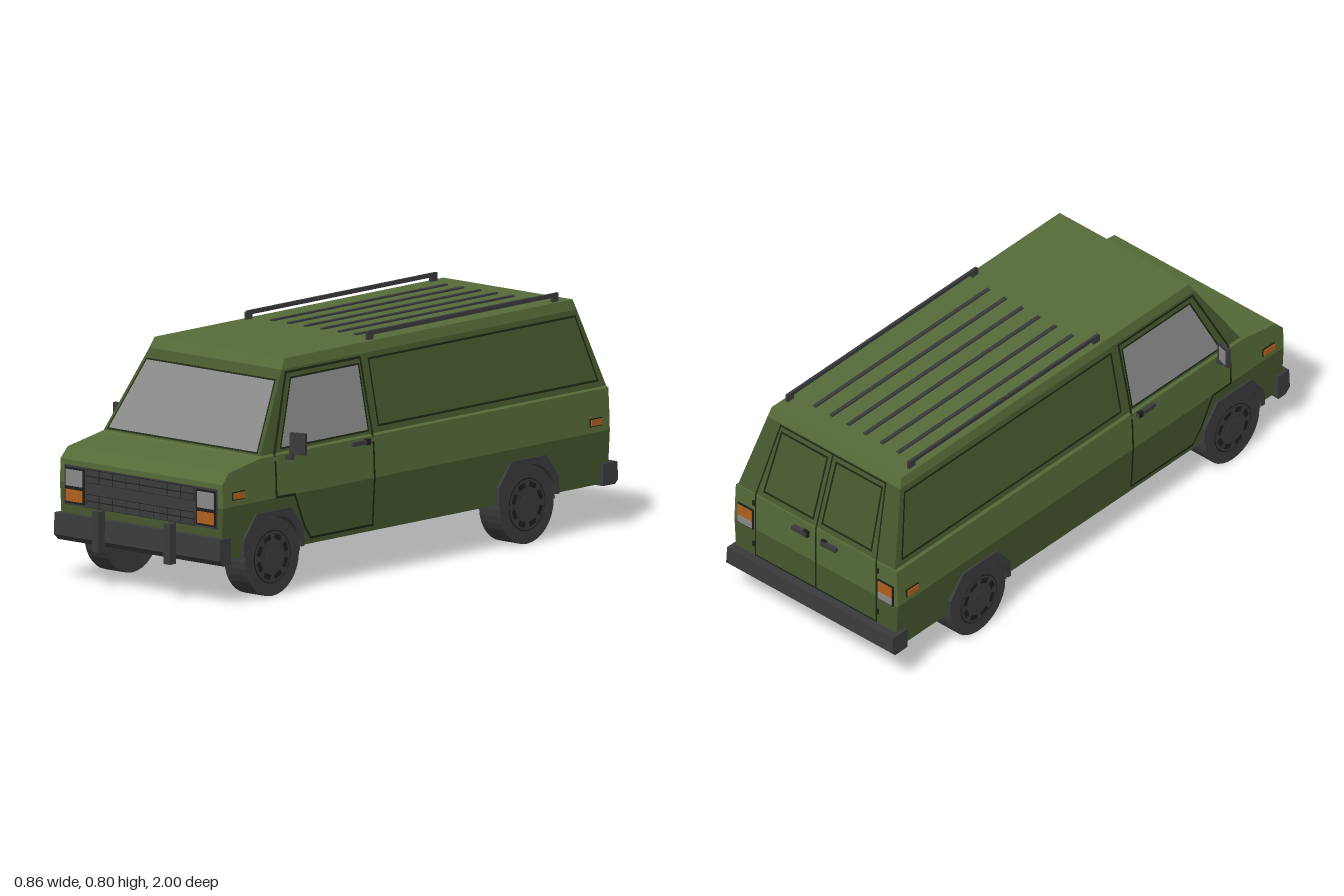
import * as THREE from 'three';
import { mergeGeometries } from 'three/addons/utils/BufferGeometryUtils.js';

const mat = (name, color) => new THREE.MeshStandardMaterial({ name, color, side: THREE.DoubleSide, flatShading: true });
const M = {
  green: mat('olive paint', 0x566b38),
  darkGreen: mat('dark olive paint', 0x46572e),
  seam: mat('dark seam', 0x1d2612),
  plastic: mat('dark plastic', 0x3b3b3d),
  black: mat('black trim', 0x1e1e1f),
  glass: mat('grey glass', 0x8a8a8a),
  orange: mat('amber lamp', 0xb0601f),
};

// Body levels: height, half width, front z, back z, paint of the band above
const LEVELS = [
  [0.15, 0.355, 0.948, -0.965, M.darkGreen], [0.33, 0.366, 0.948, -0.965, M.green],
  [0.41, 0.363, 0.948, -0.965, M.green], [0.445, 0.361, 0.915, -0.965, M.green],
  [0.472, 0.36, 0.755, -0.965, M.green], [0.478, 0.351, 0.748, -0.963, M.darkGreen],
  [0.74, 0.297, 0.582, -0.877, M.green], [0.775, 0.29, 0.563, -0.865],
];
const WHEELS = [0.70, -0.56];
const WHEEL_R = 0.133;

// Interpolated body measure (1 half width, 2 front, 3 back) at height y
function at(y, k) {
  let i = 0;
  while (i < LEVELS.length - 2 && y > LEVELS[i + 1][0]) i++;
  const a = LEVELS[i], b = LEVELS[i + 1];
  return a[k] + (b[k] - a[k]) * (y - a[0]) / (b[0] - a[0]);
}
// Maps from flat (u, y) drawings onto the body surface
const onSide = (s, e = 0.002) => (u, y) => [s * (at(y, 1) + e), y, u];
const onFront = (e = 0.002) => (u, y) => [u, y, at(y, 2) + e];
const onBack = (e = 0.002) => (u, y) => [u, y, at(y, 3) - e];

function add(parent, name, geo, material, x = 0, y = 0, z = 0) {
  const m = new THREE.Mesh(geo, material);
  m.name = name;
  m.position.set(x, y, z);
  parent.add(m);
  return m;
}
const box = (p, name, material, w, h, d, x, y, z) => add(p, name, new THREE.BoxGeometry(w, h, d), material, x, y, z);
const poly = (pts) => new THREE.Shape(pts.map(([u, v]) => new THREE.Vector2(u, v)));

// A (z, y) profile extruded across x, with its right face at x
function prism(p, name, shape, width, x, z, material) {
  const g = new THREE.ExtrudeGeometry(shape, { depth: width, bevelEnabled: false, curveSegments: 16 });
  g.rotateY(-Math.PI / 2);
  return add(p, name, g, material, x, 0, z);
}

function mapped(shape, map) {
  const g = new THREE.ShapeGeometry(shape, 16).toNonIndexed();
  const p = g.attributes.position;
  for (let i = 0; i < p.count; i++) p.setXYZ(i, ...map(p.getX(i), p.getY(i)));
  g.computeVertexNormals();
  return g;
}
const plate = (p, name, pts, map, material) => add(p, name, mapped(poly(pts), map), material);

// Thin line along a path drawn on a body surface, broken where the body bends
function line(p, name, pts, map, w = 0.007, closed = true) {
  const path = [];
  const ends = closed ? [...pts, pts[0]] : pts;
  ends.forEach(([a, b], i) => {
    path.push([a, b]);
    if (i === ends.length - 1) return;
    const [c, d] = ends[i + 1];
    const bends = LEVELS.map((l) => (l[0] - b) / (d - b)).filter((t) => t > 0.001 && t < 0.999);
    for (const t of bends.sort((m, n) => m - n)) path.push([a + (c - a) * t, b + (d - b) * t]);
  });
  const parts = [];
  for (let i = 0; i < path.length - 1; i++) {
    const [a, b] = path[i], [c, d] = path[i + 1];
    const l = Math.hypot(c - a, d - b), tu = (c - a) / l * w / 2, tv = (d - b) / l * w / 2;
    parts.push(mapped(poly([[a - tu - tv, b - tv + tu], [a - tu + tv, b - tv - tu],
      [c + tu + tv, d + tv - tu], [c + tu - tv, d + tv + tu]]), map));
  }
  return add(p, name, mergeGeometries(parts), M.seam);
}

function buildBody(g) {
  // Bands lofted between levels; the lowest side band is cut for the wheels
  const corners = ([y, w, f, b]) => [[w, y, f], [w, y, b], [-w, y, b], [-w, y, f]];
  const quads = (name, list, material) => {
    const geo = new THREE.BufferGeometry();
    const pos = list.flatMap(([a, b, c, d]) => [a, b, c, a, c, d].flat());
    geo.setAttribute('position', new THREE.Float32BufferAttribute(pos, 3));
    geo.computeVertexNormals();
    add(g, name, geo, material);
  };
  for (let i = 0; i < LEVELS.length - 1; i++) {
    const lo = corners(LEVELS[i]), hi = corners(LEVELS[i + 1]);
    const sides = i === 0 ? [1, 3] : [0, 1, 2, 3];
    quads('bodyBand', sides.map((k) => [lo[k], lo[(k + 1) % 4], hi[(k + 1) % 4], hi[k]]), LEVELS[i][4]);
  }
  quads('roof', [corners(LEVELS[LEVELS.length - 1])], M.green);

  const r = 0.14, a0 = Math.asin((0.15 - WHEEL_R) / r);
  for (const s of [1, -1]) {
    const sh = new THREE.Shape();
    sh.moveTo(0.948, 0.33);
    sh.lineTo(0.948, 0.15);
    for (const z of WHEELS) sh.absarc(z, WHEEL_R, r, a0, Math.PI - a0, false);
    sh.lineTo(-0.965, 0.15);
    sh.lineTo(-0.965, 0.33);
    add(g, 'lowerSide', mapped(sh, onSide(s, 0)), M.darkGreen);

    for (const z of WHEELS) {
      // Wheel arch flare and liner
      const t = poly([[-0.15, 0.15], [-0.148, 0.21], [-0.085, 0.29], [0.085, 0.29], [0.148, 0.21], [0.15, 0.15]]);
      t.absarc(0, WHEEL_R, r - 0.003, a0, Math.PI - a0, false);
      prism(g, 'archFlare', t, 0.025, s > 0 ? 0.371 : -0.346, z, M.plastic);
      const liner = new THREE.CylinderGeometry(r, r, 0.11, 20, 1, true, 0, Math.PI);
      liner.rotateZ(Math.PI / 2);
      add(g, 'archLiner', liner, M.plastic, s * 0.305, WHEEL_R, z);
    }
    // Floor strips between and beyond the wheels
    for (const [a, b] of [[0.945, 0.838], [0.562, -0.422], [-0.698, -0.962]])
      box(g, 'floorStrip', M.plastic, 0.1, 0.01, a - b, s * 0.304, 0.156, (a + b) / 2);
  }
  box(g, 'floor', M.plastic, 0.51, 0.15, 1.9, 0, 0.226, -0.008);
}

function buildSide(g, s) {
  const map = onSide(s);
  // Cab door and its window
  line(g, 'doorSeam', [[0.2, 0.73], [0.2, 0.17], [0.505, 0.17], [0.54, 0.215],
    [0.595, 0.33], [0.685, 0.332], [0.685, 0.478], [0.567, 0.73]], map, 0.008);
  const win = [[0.213, 0.71], [0.213, 0.49], [0.648, 0.49], [0.548, 0.71]];
  plate(g, 'doorWindow', win, map, M.glass);
  line(g, 'doorWindowSeal', win, onSide(s, 0.003), 0.006);
  // Cargo panel outline
  line(g, 'cargoPanelSeam', [[0.16, 0.72], [0.16, 0.5], [-0.925, 0.5], [-0.862, 0.72]], map);
  box(g, 'doorHandle', M.plastic, 0.014, 0.014, 0.085, s * 0.366, 0.457, 0.265);
  box(g, 'doorHandleGrip', M.black, 0.016, 0.02, 0.02, s * 0.366, 0.457, 0.235);
  // Side markers
  for (const z of [0.872, -0.895]) {
    box(g, 'markerSurround', M.seam, 0.01, 0.028, 0.06, s * 0.364, 0.365, z);
    box(g, 'sideMarker', M.orange, 0.016, 0.021, 0.053, s * 0.365, 0.365, z);
  }
  // Mirror
  const mirror = new THREE.Group();
  mirror.name = 'mirror';
  box(mirror, 'mirrorHead', M.plastic, 0.058, 0.073, 0.014, 0, 0, 0);
  box(mirror, 'mirrorGlass', M.glass, 0.038, 0.054, 0.002, 0, 0, -0.008);
  mirror.position.set(s * 0.401, 0.507, 0.614);
  mirror.rotation.y = s * 0.25;
  g.add(mirror);
  box(g, 'mirrorArm', M.plastic, 0.035, 0.014, 0.02, s * 0.367, 0.46, 0.625);
  box(g, 'mirrorStay', M.plastic, 0.012, 0.03, 0.014, s * 0.379, 0.468, 0.622);
  // Roof rail
  box(g, 'roofRail', M.plastic, 0.009, 0.014, 0.94, s * 0.272, 0.797, -0.34);
  for (const z of [0.12, -0.795]) box(g, 'roofRailFoot', M.plastic, 0.009, 0.028, 0.03, s * 0.272, 0.786, z);
}

function buildFront(g) {
  const glass = [[-0.335, 0.486], [0.335, 0.486], [0.288, 0.708], [-0.288, 0.708]];
  plate(g, 'windshield', glass, onFront(), M.glass);
  line(g, 'windshieldSeal', glass, onFront(0.003), 0.005);
  // Grille with rows of small cells
  box(g, 'grilleFrame', M.plastic, 0.684, 0.134, 0.012, 0, 0.325, 0.947);
  for (const y of [0.365, 0.281]) {
    box(g, 'grilleRecess', M.black, 0.486, 0.046, 0.002, 0, y, 0.953);
    for (const dy of [-0.0115, 0.0115]) for (let i = 0; i < 8; i++)
      box(g, 'grilleCell', M.plastic, 0.057, 0.019, 0.004, (i - 3.5) * 0.061, y + dy, 0.955);
  }
  for (const s of [1, -1]) {
    box(g, 'lampBezel', M.black, 0.088, 0.122, 0.004, s * 0.294, 0.325, 0.953);
    box(g, 'headlight', M.glass, 0.074, 0.055, 0.005, s * 0.295, 0.351, 0.956);
    box(g, 'turnSignal', M.orange, 0.074, 0.04, 0.005, s * 0.295, 0.291, 0.956);
    box(g, 'bumperGuard', M.plastic, 0.03, 0.138, 0.03, s * 0.16, 0.192, 0.985);
  }
  const profile = poly([[0.915, 0.228], [0.968, 0.228], [0.972, 0.155], [0.95, 0.135], [0.915, 0.135]]);
  prism(g, 'frontBumper', profile, 0.744, 0.372, 0, M.plastic);
}

function buildBack(g) {
  const map = onBack();
  line(g, 'rearDoorSeam', [[-0.27, 0.225], [0.27, 0.225], [0.27, 0.475], [0.235, 0.735], [-0.235, 0.735], [-0.27, 0.475]], map, 0.006);
  line(g, 'rearCentreSeam', [[0, 0.225], [0, 0.735]], map, 0.006, false);
  for (const s of [1, -1]) {
    line(g, 'rearPanelSeam', [[s * 0.02, 0.5], [s * 0.24, 0.5], [s * 0.225, 0.715], [s * 0.02, 0.715]], map, 0.007);
    box(g, 'rearHandle', M.plastic, 0.065, 0.014, 0.016, s * 0.065, 0.435, -0.973);
    box(g, 'rearHandleBase', M.black, 0.02, 0.024, 0.012, s * 0.04, 0.435, -0.971);
    for (const y of [0.27, 0.44]) box(g, 'rearHinge', M.seam, 0.01, 0.018, 0.01, s * 0.276, y, -0.967);
    // Tail lamps
    box(g, 'tailLampBezel', M.black, 0.07, 0.08, 0.008, s * 0.313, 0.367, -0.967);
    box(g, 'tailLamp', M.orange, 0.062, 0.042, 0.008, s * 0.313, 0.382, -0.97);
    box(g, 'reverseLamp', M.glass, 0.062, 0.026, 0.008, s * 0.313, 0.345, -0.97);
  }
  const profile = poly([[-0.925, 0.22], [-0.925, 0.145], [-0.985, 0.145], [-1, 0.16], [-0.995, 0.22]]);
  prism(g, 'rearBumper', profile, 0.744, 0.372, 0, M.plastic);
}

function buildWheel(s) {
  const w = new THREE.Group();
  w.name = 'wheel';
  const disc = (name, r, len, x, m, n = 32) => {
    const c = new THREE.CylinderGeometry(r, r, len, n);
    c.rotateZ(Math.PI / 2);
    add(w, name, c, m, s * x, 0, 0);
  };
  disc('tyre', WHEEL_R, 0.094, 0, M.plastic);
  disc('rimGroove', 0.09, 0.002, 0.0468, M.black);
  disc('rim', 0.086, 0.003, 0.0475, M.plastic);
  disc('hubCap', 0.03, 0.005, 0.048, M.plastic, 16);
  for (let i = 0; i < 8; i++) {
    const a = i * Math.PI / 4 + Math.PI / 8;
    const slot = box(w, 'rimSlot', M.black, 0.002, 0.018, 0.034, s * 0.0486, Math.sin(a) * 0.068, Math.cos(a) * 0.068);
    slot.rotation.x = Math.PI / 2 - a;
  }
  return w;
}

function buildRunningGear(g) {
  for (const z of WHEELS) {
    for (const s of [1, -1]) {
      const w = buildWheel(s);
      w.position.set(s * 0.314, WHEEL_R, z);
      g.add(w);
    }
    const axle = new THREE.CylinderGeometry(0.022, 0.022, 0.56, 12);
    axle.rotateZ(Math.PI / 2);
    add(g, 'axle', axle, M.plastic, 0, 0.132, z);
    box(g, 'differential', M.plastic, 0.112, 0.07, 0.11, -0.008, 0.131, z);
  }
  const shaft = new THREE.CylinderGeometry(0.02, 0.02, 1.26, 12);
  shaft.rotateX(Math.PI / 2);
  add(g, 'driveShaft', shaft, M.plastic, 0, 0.131, 0.07);
}

export function createModel() {
  const van = new THREE.Group();
  van.name = 'van';
  buildBody(van);
  buildSide(van, 1);
  buildSide(van, -1);
  buildFront(van);
  buildBack(van);
  buildRunningGear(van);
  // Roof ribs
  for (let i = 0; i < 6; i++) box(van, 'roofRib', M.plastic, 0.013, 0.007, 0.865, -0.19 + i * 0.075, 0.777, -0.337);
  return van;
}
